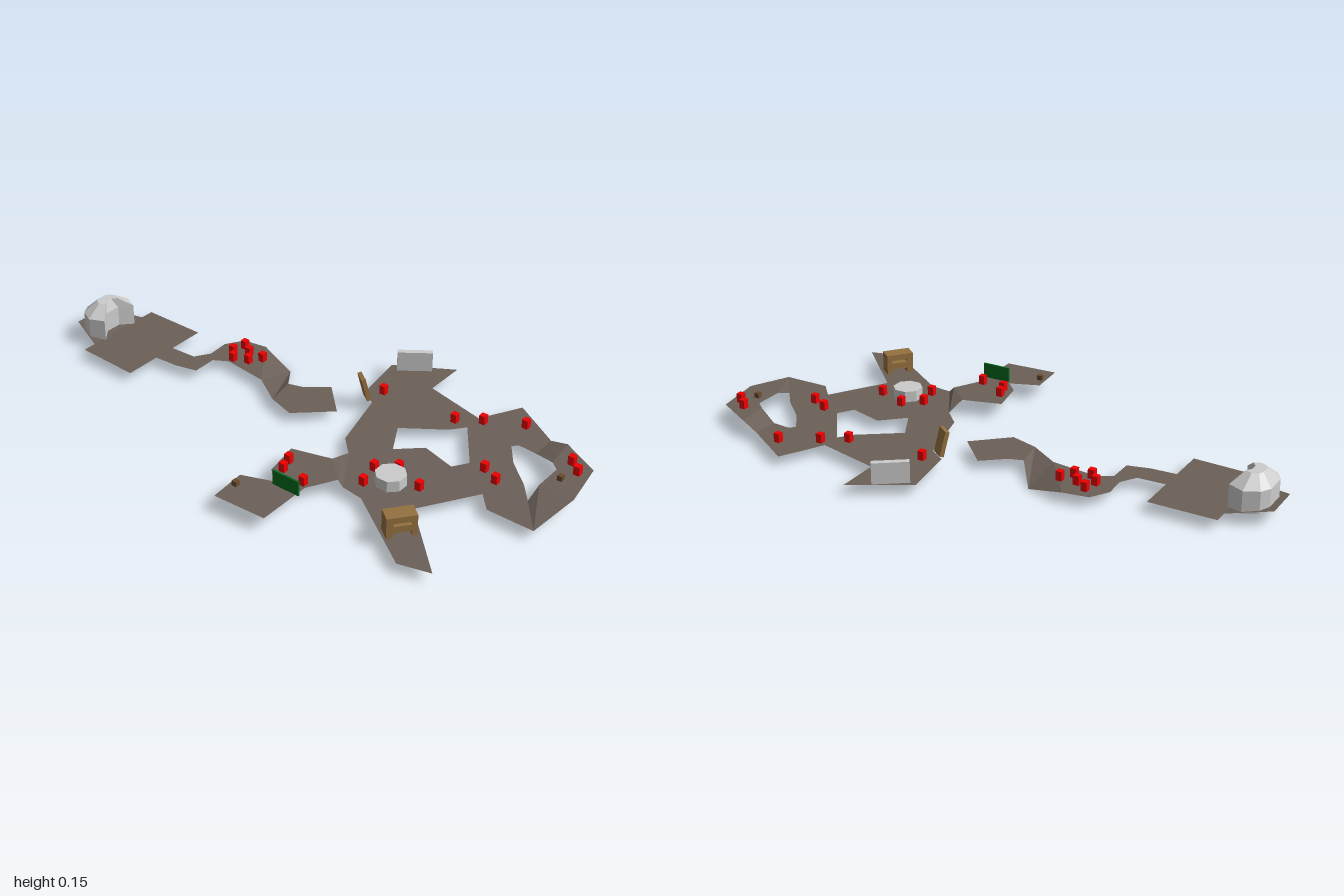
import * as THREE from 'three';

const LOW = 0.037, ROOM = 0.057, HIGH = 0.062;
const mat = (color) => new THREE.MeshStandardMaterial({ color, flatShading: true, side: THREE.DoubleSide });

export function createModel() {
  const root = new THREE.Group();
  const earth = mat(0x6b6058), grey = mat(0xcccccc), red = mat(0xee0000);
  const wood = mat(0x94703f), green = mat(0x006a1c), darkWood = mat(0x6a4a2a);

  const add = (name, geometry, material, x = 0, y = 0, z = 0, turn = 0, tilt = 0) => {
    const mesh = new THREE.Mesh(geometry, material);
    mesh.name = name;
    mesh.position.set(x, y, z);
    mesh.rotation.set(tilt, turn, 0, 'YXZ');
    root.add(mesh);
    return mesh;
  };
  const surface = (positions, index) => {
    const g = new THREE.BufferGeometry();
    g.setAttribute('position', new THREE.Float32BufferAttribute(positions, 3));
    g.setIndex(index);
    g.computeVertexNormals();
    return g;
  };
  // thin floor from corners [x, z, optional height]
  const floor = (name, corners, level = LOW, hole = []) => {
    const to2 = (list) => list.map(([x, z]) => new THREE.Vector2(x, z));
    const tris = THREE.ShapeUtils.triangulateShape(to2(corners), hole.length ? [to2(hole)] : []);
    const positions = [...corners, ...hole].flatMap(([x, z, y = level]) => [x, y, z]);
    add(name, surface(positions, tris.flatMap(([a, b, c]) => [a, c, b])), earth);
  };

  // main ground with its branches and the central opening
  floor('mainGround', [
    [-0.25, 0.38], [-0.09, 0.28], [-0.03, 0.22], [0.2, 0.16], [0.24, 0.1], [0.44, 0.07],
    [0.56, 0.27], [0.405, 0.27], [0.35, 0.5], [0.5, 0.58], [0.39, 0.76], [0.295, 0.76],
    [0.3, 0.69], [0.28, 0.675], [0.205, 0.73], [0.125, 0.82], [0.06, 0.875], [-0.06, 0.97],
    [-0.06, 0.8], [0, 0.745], [-0.2, 0.62], [-0.42, 0.845], [-0.45, 0.735], [-0.26, 0.46],
  ], LOW, [[0.02, 0.38], [0.13, 0.32], [0.23, 0.46], [0.28, 0.5], [0.115, 0.62], [0.06, 0.585], [0.095, 0.46]]);

  // raised front walk with a ramp at each end
  floor('frontWalkLeftRamp', [[0.295, 0.76], [0.39, 0.76], [0.375, 0.83, HIGH], [0.255, 0.845, HIGH]]);
  floor('frontWalk', [[0.125, 0.875], [0.125, 1], [0.3, 0.97], [0.375, 0.83], [0.255, 0.845], [0.23, 0.875]], HIGH);
  floor('frontWalkRightRamp', [[0.06, 0.875], [-0.06, 0.97], [0.125, 1, HIGH], [0.125, 0.875, HIGH]]);

  // raised side rooms and the short ramp to them
  floor('sideRooms', [
    [-0.56, 0.11], [-0.425, 0.1], [-0.385, 0.205], [-0.34, 0.16], [-0.21, 0.135],
    [-0.17, 0.275], [-0.25, 0.36], [-0.35, 0.305], [-0.55, 0.305],
  ], ROOM);
  floor('sideRamp', [[-0.17, 0.275, ROOM], [-0.25, 0.36, ROOM], [-0.25, 0.38], [-0.09, 0.28]]);

  // detached back path, with one sunken corner
  floor('backGround', [
    [-0.18, -0.86], [0.17, -0.86], [0.17, -0.62], [0.03, -0.62], [0.035, -0.52], [0.09, -0.485],
    [0.17, -0.49], [0.235, -0.45], [0.25, -0.36], [0.07, -0.23], [0.09, -0.4], [0.06, -0.45],
    [-0.03, -0.45], [-0.05, -0.53], [-0.055, -0.62], [-0.19, -0.62],
  ]);
  const rim = [[0.25, -0.36], [0.07, -0.23], [0, -0.12], [0.11, -0.14]];
  for (let i = 0; i < 3; i++) floor('sunkenPath', [[0.22, -0.22, 0], rim[i], rim[i + 1]]);
  floor('backPathEnd', [[0, -0.12], [-0.03, -0.02], [0.08, 0.1], [0.19, -0.01], [0.125, -0.09], [0.11, -0.14]]);
  floor('backRamp', [[-0.13, -0.86], [0.12, -0.86], [0.06, -1, 0.055], [-0.075, -1, 0.055]]);

  // faceted dome: a notched plan, upright walls and a tapering roof
  const half = [[0.03, -0.885], [0.075, -0.85], [0.1, -0.905], [0.075, -0.955], [0.04, -0.975]];
  const plan = [...half, ...half.map(([x, z]) => [-x, z]).reverse()];
  const n = plan.length, domePos = [], domeIdx = [];
  const rings = [[LOW, 1], [0.115, 1], [0.153, 0.42]];
  rings.forEach(([y, s], r) => plan.forEach(([x, z], i) => {
    domePos.push(x * s - 0.006, y, -0.91 + (z + 0.91) * s);
    const j = (i + 1) % n, a = r * n + i, b = r * n + j;
    if (r < 2) domeIdx.push(a, a + n, b, b, a + n, b + n);
    else domeIdx.push(a, 3 * n, b);
  }));
  domePos.push(-0.006, 0.153, -0.91);
  // the plan runs anticlockwise from above, so reverse each triangle
  for (let i = 0; i < domeIdx.length; i += 3) [domeIdx[i + 1], domeIdx[i + 2]] = [domeIdx[i + 2], domeIdx[i + 1]];
  add('dome', surface(domePos, domeIdx), grey);

  // octagonal well and grey wall slab
  const well = new THREE.CylinderGeometry(0.053, 0.053, 0.041, 8);
  add('well', well, grey, -0.135, 0.0565, 0.484, Math.PI / 8);
  add('wallSlab', new THREE.BoxGeometry(0.125, 0.075, 0.02), grey, 0.466, 0.0745, 0.15, -0.935);

  // wooden gate with a window slot and an open foot
  const gate = new THREE.Shape([
    [-0.05, 0], [-0.027, 0], [-0.027, 0.018], [0.033, 0.018], [0.033, 0],
    [0.05, 0], [0.05, 0.075], [-0.05, 0.075],
  ].map(([x, y]) => new THREE.Vector2(x, y)));
  gate.holes.push(new THREE.Path([[-0.027, 0.042], [-0.027, 0.053], [0.033, 0.053], [0.033, 0.042]]
    .map(([x, y]) => new THREE.Vector2(x, y))));
  const gateGeo = new THREE.ExtrudeGeometry(gate, { depth: 0.054, bevelEnabled: false }).translate(0, 0, -0.027);
  add('gate', gateGeo, wood, -0.32, LOW, 0.652, -0.67);

  // leaning plank door and thin green door
  add('leaningDoor', new THREE.BoxGeometry(0.053, 0.09, 0.015), wood, 0.207, 0.083, 0.12, 0.93, -0.25);
  add('greenDoor', new THREE.BoxGeometry(0.006, 0.054, 0.105), green, -0.395, 0.085, 0.265);

  // small chests
  for (const [x, y, z] of [[-0.475, ROOM, 0.125], [0.19, HIGH, 0.913]])
    add('chest', new THREE.BoxGeometry(0.018, 0.018, 0.018), darkWood, x, y + 0.009, z);

  // red blocks standing on the floors
  const blocks = [
    [LOW, [[-0.11, 0.4], [-0.195, 0.42], [-0.06, 0.463], [-0.105, 0.574], [0.11, 0.68], [0.077, 0.743],
      [0.273, 0.156], [0.283, 0.447], [0.336, 0.527], [0.405, 0.653], [0.145, -0.426], [0.108, -0.394],
      [0.198, -0.415], [0.172, -0.373], [0.13, -0.341], [0.172, -0.31]]],
    [ROOM, [[-0.273, 0.177], [-0.32, 0.193], [-0.336, 0.288]]],
    [HIGH, [[0.288, 0.897], [0.251, 0.939]]],
  ];
  for (const [level, spots] of blocks)
    for (const [x, z] of spots)
      add('redBlock', new THREE.BoxGeometry(0.022, 0.033, 0.022), red, x, level + 0.0165, z);

  return root;
}
